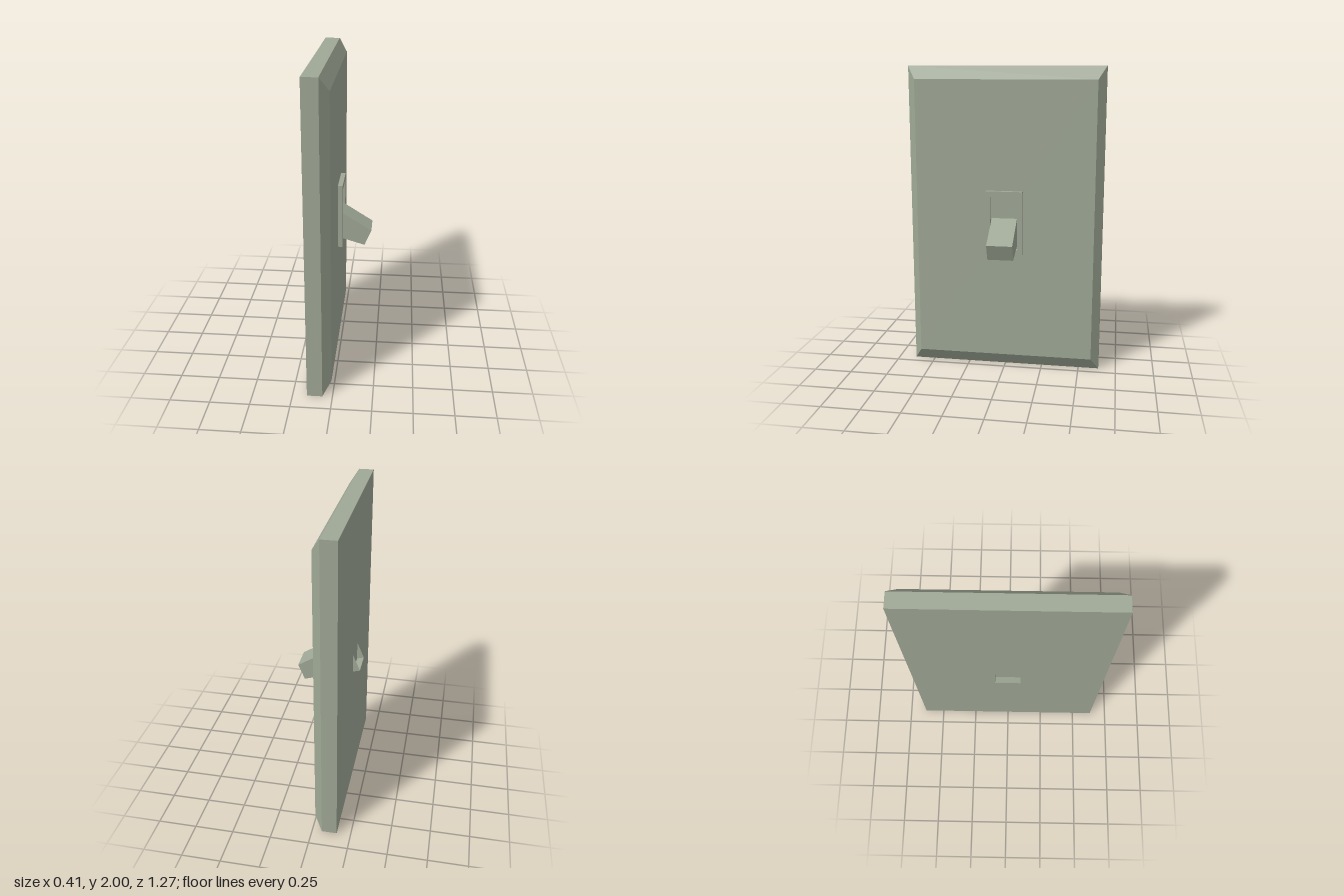
import * as THREE from 'three';

const material = new THREE.MeshStandardMaterial({ color: 0x9fa896, flatShading: true });
const shellMaterial = material.clone();
shellMaterial.side = THREE.DoubleSide;

// Move every vertex of a geometry by a rule, then give it hard-edged normals
function reshape(geometry, rule) {
  const p = geometry.attributes.position;
  for (let i = 0; i < p.count; i++) {
    p.setXYZ(i, ...rule(p.getX(i), p.getY(i), p.getZ(i)));
  }
  const flat = geometry.toNonIndexed();
  flat.computeVertexNormals();
  return flat;
}

function named(name, geometry, mat = material) {
  const mesh = new THREE.Mesh(geometry, mat);
  mesh.name = name;
  return mesh;
}

function rectangle(PathType, halfW, halfH) {
  return new PathType([[-1, -1], [1, -1], [1, 1], [-1, 1]]
    .map(([x, y]) => new THREE.Vector2(x * halfW, y * halfH)));
}

// Wall plate: a box with one extra ring, its outer face drawn in to make the bevel
function wallPlate() {
  const rings = { '-1': [-0.16, 1, 0.635], 0: [-0.063, 1, 0.635], 1: [-0.01, 0.917, 0.583] };
  return reshape(new THREE.BoxGeometry(2, 2, 2, 2, 1, 1), (x, y, z) => {
    const [px, halfH, halfW] = rings[Math.round(x)];
    return [px, 1 + Math.sign(y) * halfH, Math.sign(z) * halfW];
  });
}

// Raised rectangular rim around the switch opening
function rim() {
  const shape = rectangle(THREE.Shape, 0.12, 0.21);
  shape.holes.push(rectangle(THREE.Path, 0.09, 0.175));
  return new THREE.ExtrudeGeometry(shape, { depth: 0.03, bevelEnabled: false })
    .rotateY(Math.PI / 2)
    .translate(-0.01, 1, 0);
}

// Tapered toggle lever, open at its inner end, passing through the plate
function toggle() {
  const box = new THREE.BoxGeometry(2, 2, 2);
  const index = Array.from(box.index.array);
  index.splice(6, 6); // leave out the inner end
  box.setIndex(index);
  return reshape(box, (x, y, z) => {
    const [px, py] = x > 0
      ? (y > 0 ? [0.203, 0.895] : [0.16, 0.793])
      : (y > 0 ? [-0.123, 1.1] : [-0.205, 0.9]);
    return [px, py, Math.sign(z) * 0.083];
  });
}

export function createModel() {
  const group = new THREE.Group();
  group.name = 'lightSwitch';
  group.add(
    named('wallPlate', wallPlate()),
    named('switchRim', rim()),
    named('toggleLever', toggle(), shellMaterial),
  );
  return group;
}
